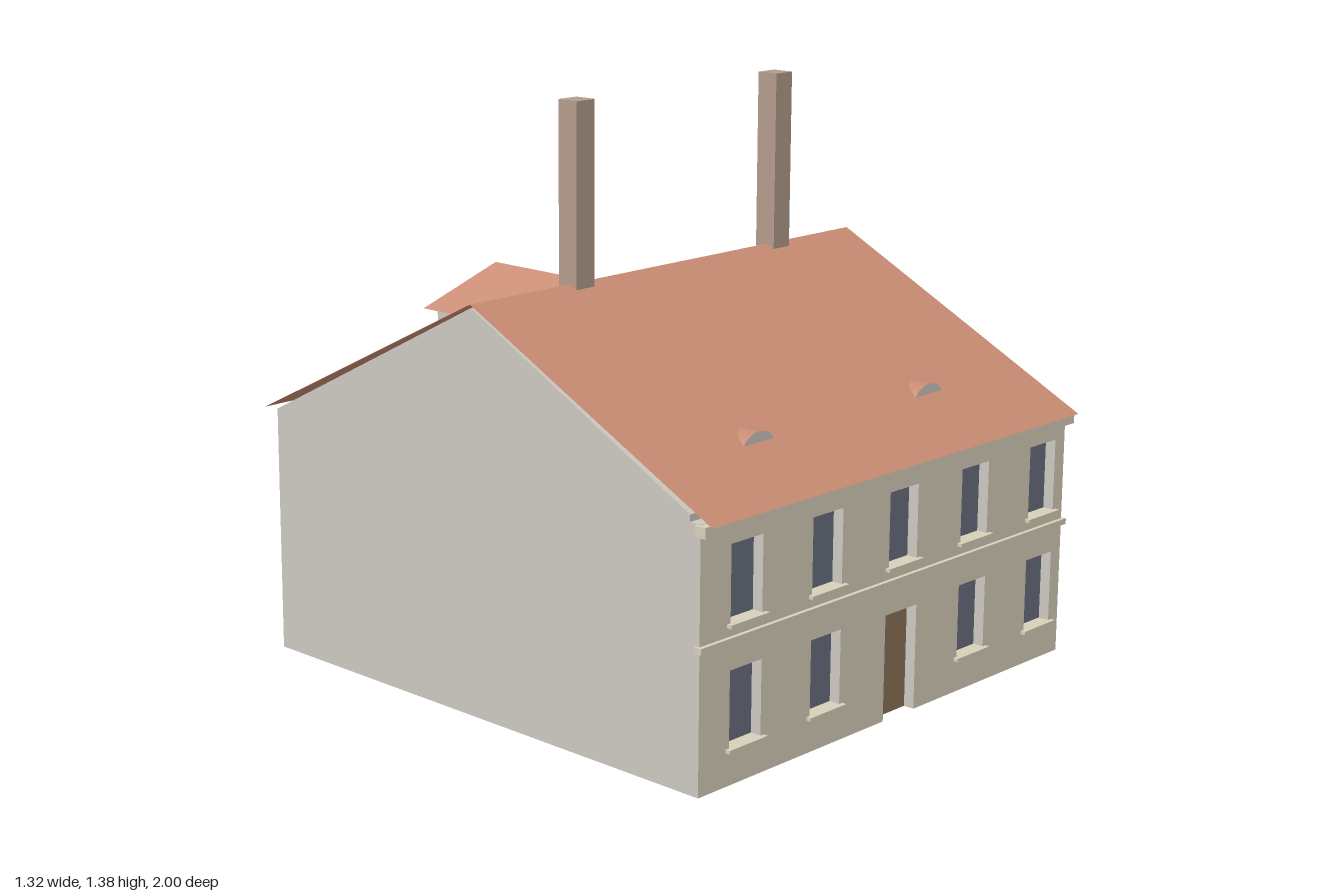
import * as THREE from 'three';

const mat = (color, side = THREE.FrontSide) =>
  new THREE.MeshStandardMaterial({ color, side, flatShading: true });

const plaster = mat(0xd6cfb9);
const wall = mat(0xccc8c0);
const tiles = mat(0xc88b73, THREE.DoubleSide);
const glass = mat(0x6a7080);
const wood = mat(0x8b7358);
const brick = mat(0xb39c8d);

const HALF = 0.652;    // half width of the walls
const FRONT = 0.965;   // outer face of the front wall
const RECESS = 0.03;   // depth of window and door reveals
const RIDGE_Z = 0.282;

export function createModel() {
  const house = new THREE.Group();
  house.name = 'house';

  const add = (name, geometry, material) => {
    const mesh = new THREE.Mesh(geometry, material);
    mesh.name = name;
    house.add(mesh);
    return mesh;
  };

  // Box given by its limits
  const box = (name, material, x0, x1, y0, y1, z0, z1) =>
    add(name, new THREE.BoxGeometry(x1 - x0, y1 - y0, z1 - z0), material)
      .position.set((x0 + x1) / 2, (y0 + y1) / 2, (z0 + z1) / 2);

  // Flat faces, each a counter-clockwise list of corners
  const sheet = (name, material, faces) => {
    const positions = [];
    for (const f of faces)
      for (let i = 1; i < f.length - 1; i++) positions.push(...f[0], ...f[i], ...f[i + 1]);
    const g = new THREE.BufferGeometry();
    g.setAttribute('position', new THREE.Float32BufferAttribute(positions, 3));
    g.computeVertexNormals();
    return add(name, g, material);
  };

  const outline = (points) => new THREE.Shape(points.map(([x, y]) => new THREE.Vector2(x, y)));
  const extrude = (shape, depth, curveSegments = 12) =>
    new THREE.ExtrudeGeometry(shape, { depth, bevelEnabled: false, curveSegments });

  // Main body with gable ends, a z-y profile swept along x
  const inner = FRONT - RECESS;
  const body = extrude(
    outline([[-0.4, 0], [inner, 0], [inner, 0.616], [RIDGE_Z, 0.952], [-0.4, 0.602]]), 2 * HALF);
  body.rotateY(-Math.PI / 2).translate(HALF, 0, 0);
  add('mainBody', body, wall);

  // Front wall with a door notch and window openings
  const door = { x0: -0.027, x1: 0.086, top: 0.252 };
  const facade = outline([
    [-HALF, 0], [door.x0, 0], [door.x0, door.top], [door.x1, door.top], [door.x1, 0],
    [HALF, 0], [HALF, 0.6], [-HALF, 0.6],
  ]);
  const columns = [-0.504, -0.237, 0.031, 0.297, 0.564];
  for (const y0 of [0.082, 0.361]) {
    columns.forEach((x, i) => {
      if (y0 < 0.3 && i === 2) return; // door stands here
      const x0 = x - 0.051, x1 = x + 0.051, y1 = y0 + 0.177;
      facade.holes.push(new THREE.Path(
        [[x0, y0], [x0, y1], [x1, y1], [x1, y0]].map(([a, b]) => new THREE.Vector2(a, b))));
      box('windowPane', glass, x0, x1, y0, y1, inner - 0.01, inner + 0.003);
      box('windowSill', plaster, x - 0.062, x + 0.062, y0 - 0.005, y0 + 0.003, inner, FRONT + 0.012);
    });
  }
  const facadeGeometry = extrude(facade, RECESS);
  facadeGeometry.translate(0, 0, inner);
  add('frontWall', facadeGeometry, [plaster, wall]);
  box('door', wood, door.x0, door.x1, 0, door.top, inner - 0.01, inner + 0.003);

  // Mouldings across the front
  box('stringCourse', plaster, -0.658, 0.658, 0.321, 0.335, FRONT - 0.01, FRONT + 0.01);
  box('cornice', plaster, -0.66, 0.66, 0.574, 0.599, FRONT - 0.01, FRONT + 0.02);

  // Main roof, two thin slopes
  const R = 0.655, ridgeY = 0.96, eaveY = 0.6;
  sheet('mainRoof', tiles, [
    [[-R, eaveY, 1], [R, eaveY, 1], [R, ridgeY, RIDGE_Z], [-R, ridgeY, RIDGE_Z]],
    [[R, eaveY, -0.442], [-R, eaveY, -0.442], [-R, ridgeY, RIDGE_Z], [R, ridgeY, RIDGE_Z]],
  ]);

  // Rear wing, footprint drawn in x and -z with a slightly skewed back wall
  const wing = extrude(outline([[0.39, 0.3], [HALF, 0.3], [HALF, 0.957], [0.39, 0.968]]), 0.6);
  wing.rotateX(-Math.PI / 2);
  add('rearWing', wing, wall);

  // Wing roof, hipped at the back and gabled towards the main roof
  const a = [0.366, 0.6, -0.36], b = [0.657, 0.6, -0.36];
  const c = [0.657, 0.6, -1], d = [0.366, 0.6, -1];
  const near = [0.512, 0.732, -0.36], far = [0.512, 0.732, -0.858];
  sheet('wingRoof', tiles, [[b, c, far, near], [d, a, near, far], [c, d, far]]);
  sheet('wingGable', mat(0xccc8c0, THREE.DoubleSide), [[a, b, near]]);

  // Chimneys on the ridge
  for (const x of [-0.314, 0.374])
    box('chimney', brick, x - 0.029, x + 0.029, 0.945, 1.38, 0.247, 0.304);

  // Eyebrow dormers on the front slope
  for (const x of [-0.314, 0.29]) {
    const brow = new THREE.Shape();
    brow.moveTo(-0.051, 0);
    brow.lineTo(0.051, 0);
    brow.bezierCurveTo(0.03, 0.033, -0.03, 0.033, -0.051, 0);
    const g = extrude(brow, 0.07, 10);
    g.translate(x, 0.685, 0.76);
    add('eyebrowDormer', g, [wall, tiles]);
  }

  return house;
}
